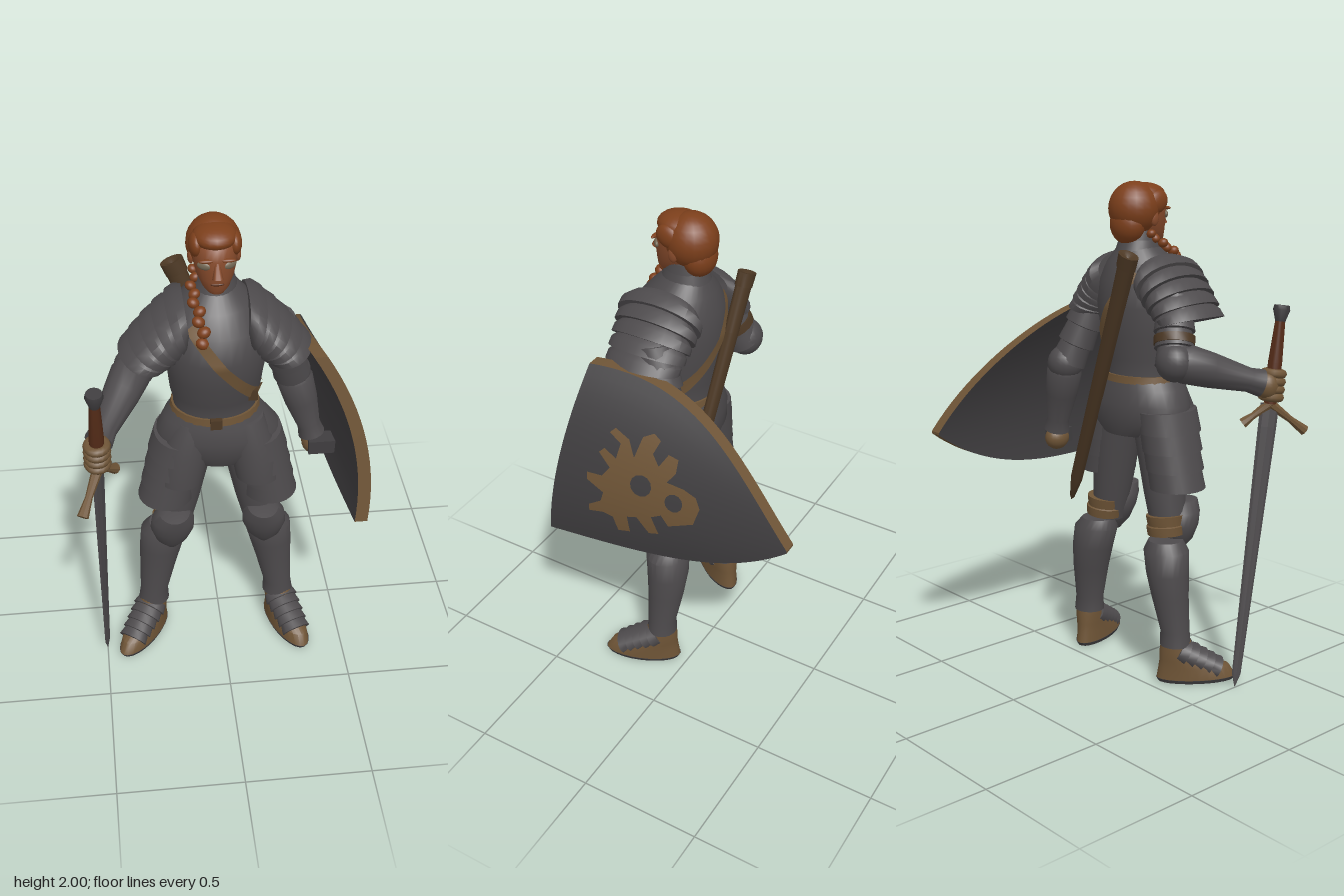
import * as THREE from 'three';
import { toCreasedNormals } from 'three/addons/utils/BufferGeometryUtils.js';

const paint = (name, color, side = THREE.FrontSide) => {
  const m = new THREE.MeshStandardMaterial({ color, side });
  m.name = name;
  return m;
};
const V = (x, y, z) => new THREE.Vector3(x, y, z);
const lerp = THREE.MathUtils.lerp;

// Closed body from stacked elliptical rings: [x, y, z, radiusX, radiusZ, tilt]
function loft(rings, seg = 24) {
  const pos = [], idx = [], n = rings.length;
  for (const [x, y, z, rx, rz, tilt = 0] of rings)
    for (let j = 0; j < seg; j++) {
      const a = (j / seg) * Math.PI * 2, c = rx * Math.cos(a);
      pos.push(x + c * Math.cos(tilt), y + c * Math.sin(tilt), z + rz * Math.sin(a));
    }
  for (const r of [rings[0], rings[n - 1]]) pos.push(r[0], r[1], r[2]);
  for (let j = 0; j < seg; j++) {
    const k = (j + 1) % seg, top = (n - 1) * seg;
    for (let i = 0; i < n - 1; i++) {
      const a = i * seg + j, b = i * seg + k, c = a + seg, d = b + seg;
      idx.push(a, c, b, b, c, d);
    }
    idx.push(n * seg, j, k, n * seg + 1, top + k, top + j);
  }
  const g = new THREE.BufferGeometry();
  g.setAttribute('position', new THREE.Float32BufferAttribute(pos, 3));
  g.setIndex(idx);
  return toCreasedNormals(g, 0.7);
}

export function createModel() {
  const root = new THREE.Group();
  root.name = 'knight';
  const steel = paint('steel', 0x4d4a4c), dark = paint('dark steel', 0x3f3d3f);
  const tan = paint('tan leather', 0x6e5436), brown = paint('brown leather', 0x4c3824);
  const rust = paint('red brown grip', 0x552c18), hair = paint('auburn hair', 0x7c3f1b);
  const skin = paint('skin', 0x864a2b), eye = paint('eye shade', 0x746854);
  const strapMat = paint('strap leather', 0x6e5436, THREE.DoubleSide);

  const add = (name, geo, mat, parent = root) => {
    const m = new THREE.Mesh(geo, mat);
    m.name = name;
    parent.add(m);
    return m;
  };
  const ball = (name, p, r, mat, parent = root) => {
    const m = add(name, new THREE.SphereGeometry(1, 20, 14), mat, parent);
    m.position.set(...p);
    m.scale.set(...r);
    return m;
  };
  // Turned shape from point a to b; profile is [radius, fraction along]
  const limb = (name, a, b, profile, mat, { flat = 1, spin = 0, parent = root, seg = 18 } = {}) => {
    const A = V(...a), d = V(...b).sub(A), len = d.length();
    const pts = profile.map(([r, t]) => new THREE.Vector2(r, t * len));
    const m = add(name, toCreasedNormals(new THREE.LatheGeometry(pts, seg), 0.7), mat, parent);
    m.position.copy(A);
    m.quaternion.setFromUnitVectors(V(0, 1, 0), d.normalize())
      .multiply(new THREE.Quaternion().setFromAxisAngle(V(0, 1, 0), spin));
    m.scale.z = flat;
    return m;
  };
  // Stepped profile of n overlapping plates
  const steps = (n, r0, r1) => {
    const p = [[0, 0]];
    for (let i = 0; i < n; i++) {
      const r = lerp(r0, r1, i / n);
      p.push([r * 0.92, i / n], [r * 1.04, (i + 0.95) / n]);
    }
    return [...p, [0, 1]];
  };

  // Breastplate and backplate
  const chest = [[-.03, 1.18, .16, .165, .14], [-.03, 1.26, .16, .158, .138], [-.03, 1.31, .165, .17, .15],
    [-.03, 1.4, .17, .18, .17], [-.03, 1.52, .175, .2, .19], [-.03, 1.62, .168, .19, .172],
    [-.03, 1.69, .15, .14, .13], [-.03, 1.75, .135, .08, .085]];
  add('breastplate', loft(chest, 32), steel);
  for (let i = 0; i < 3; i++)
    add('gorget', loft([[-.03, 1.7 + i * .033, .135, .1 - i * .012, .11 - i * .013],
      [-.03, 1.745 + i * .033, .135, .08 - i * .007, .088 - i * .007]]), steel);

  // Shoulder strap laid over the chest surface, front and back
  const chestZ = (x, y, side) => {
    let i = 0;
    while (i < chest.length - 2 && chest[i + 1][1] < y) i++;
    const a = chest[i], b = chest[i + 1], t = (y - a[1]) / (b[1] - a[1]);
    const u = (x + .03) / lerp(a[3], b[3], t);
    return lerp(a[2], b[2], t) + side * (lerp(a[4], b[4], t) * Math.sqrt(Math.max(0, 1 - u * u)) + .008);
  };
  for (const side of [1, -1]) {
    const g = new THREE.PlaneGeometry(1, 1, 24, 2), p = g.attributes.position;
    for (let i = 0; i < p.count; i++) {
      const t = p.getX(i) + .5, w = p.getY(i) * .042;
      const x = lerp(-.13, .135, t) + w * .78, y = lerp(1.655, 1.3, t) + w * .62;
      p.setXYZ(i, x, y, chestZ(x, y, side));
    }
    g.computeVertexNormals();
    add('shoulderStrap', g, strapMat);
  }
  add('strapBuckle', new THREE.BoxGeometry(.035, .045, .035), brown).position.set(.1, 1.335, .268);

  // Belt and fauld
  add('belt', loft([[-.03, 1.218, .16, .174, .15], [-.03, 1.247, .16, .168, .147]]), tan);
  add('beltBuckle', new THREE.BoxGeometry(.045, .04, .02), brown).position.set(-.04, 1.232, .31);
  add('fauld', loft([[-.015, 1.0, .15, .15, .13], [-.015, 1.06, .155, .24, .155],
    [-.02, 1.13, .16, .235, .162], [-.03, 1.19, .16, .195, .155], [-.03, 1.225, .16, .172, .147]], 32), steel);

  for (const s of [-1, 1]) {
    const side = new THREE.Group();
    side.name = s < 0 ? 'rightLeg' : 'leftLeg';
    root.add(side);
    const P = (off, y, z) => [-.02 + s * off, y, z], o = { parent: side };
    // Overlapping thigh plates, with a smooth plate in front
    for (let i = 0; i < 4; i++) {
      const t = i / 4, u = t + .29;
      add('tasset', loft([[...P(lerp(.145, .205, u), lerp(1.11, .81, u), .17), .11, lerp(.145, .118, u)],
        [...P(lerp(.145, .205, t), lerp(1.11, .81, t), .165), .102, lerp(.137, .11, t)]]), steel, side);
    }
    add('frontTasset', loft([[...P(.15, .92, .235), .085, .08], [...P(.125, 1.08, .235), .09, .083],
      [...P(.09, 1.2, .21), .08, .08]]), steel, side);
    // Thigh, knee and shin
    limb('thigh', P(.11, 1.05, .15), P(.185, .6, .15), [[0, 0], [.1, 0], [.085, .6], [.068, 1], [0, 1]], steel, o);
    limb('kneeStrap', P(.188, .605, .128), P(.18, .685, .13),
      [[0, 0], [.074, 0], [.078, .45], [.072, .5], [.078, 1], [0, 1]], tan, o);
    add('kneePlate', loft([[...P(.19, .53, .19), .02, .02], [...P(.19, .58, .19), .065, .06],
      [...P(.187, .64, .195), .088, .08], [...P(.183, .69, .205), .085, .085],
      [...P(.178, .73, .215), .062, .08], [...P(.175, .74, .2), .04, .05]]), steel, side);
    add('greave', loft([[...P(.268, .16, .11), .064, .062], [...P(.265, .22, .11), .058, .06],
      [...P(.245, .36, .1), .075, .075], [...P(.23, .46, .098), .088, .085],
      [...P(.215, .55, .105), .096, .088], [...P(.205, .59, .11), .07, .07]]), steel, side);
    // Boot with instep plates
    const foot = new THREE.Group();
    foot.name = 'foot';
    foot.position.set(-.02 + s * .27, 0, .11);
    foot.rotation.y = s < 0 ? -.63 : .36;
    side.add(foot);
    add('sole', loft([[0, .005, .085, .06, .155], [0, .02, .085, .066, .164]]), dark, foot);
    add('boot', loft([[0, .02, .085, .064, .162], [0, .065, .075, .062, .145], [0, .1, .035, .058, .1],
      [0, .14, .005, .055, .07], [0, .19, 0, .052, .056]]), tan, foot);
    limb('instepPlates', [0, .14, .01], [0, .05, .175], steps(5, .07, .058), steel, { parent: foot, flat: .75 });

    // Layered shoulder plates
    for (let i = 0; i < 5; i++) {
      const ring = (t, k) => [-.03 + s * lerp(.11, .268, t), lerp(1.65, 1.475, t), .168,
        .086 * k, lerp(.172, .14, t) * k, s * lerp(1.45, .28, t)];
      add(s < 0 ? 'rightPauldron' : 'leftPauldron',
        loft([ring((i + 1.25) / 5.25, 1.1), ring((i + .6) / 5.25, 1.06), ring(i / 5.25, .86)]), steel);
    }
  }

  // Right arm
  limb('rightUpperArm', [-.24, 1.56, .13], [-.325, 1.32, .05], steps(4, .08, .07), steel);
  limb('rightArmStrap', [-.288, 1.425, .085], [-.298, 1.395, .075], [[0, 0], [.08, 0], [.08, 1], [0, 1]], brown);
  ball('rightElbow', [-.33, 1.335, .045], [.075, .075, .07], steel);
  limb('rightForearm', [-.325, 1.34, .05], [-.48, 1.235, .37],
    [[0, 0], [.066, .02], [.078, .12], [.07, .4], [.048, .85], [.055, 1], [0, 1]], steel);
  ball('rightGlove', [-.49, 1.222, .4], [.044, .055, .052], tan);
  // Left arm
  limb('leftUpperArm', [.2, 1.56, .13], [.285, 1.25, .03], steps(4, .08, .068), steel);
  ball('leftElbow', [.29, 1.25, .02], [.072, .075, .075], steel);
  limb('leftForearm', [.29, 1.25, .02], [.375, .95, .04],
    [[0, 0], [.06, .02], [.073, .12], [.066, .45], [.046, .85], [.054, 1], [0, 1]], steel);
  ball('leftGlove', [.38, .91, .045], [.045, .05, .055], tan);
  add('shieldHandle', new THREE.BoxGeometry(.13, .06, .07), dark).position.set(.42, .92, .075);

  // Sword
  const pommel = V(-.485, 1.53, .475), tip = V(-.5, 0, .24);
  const at = (t) => pommel.clone().lerp(tip, t).toArray();
  limb('pommel', at(.045), at(0), [[0, 0], [.018, 0], [.034, .75], [.03, 1], [0, 1]], dark);
  limb('grip', at(.25), at(.04), [[0, 0], [.024, 0], [.028, .5], [.02, 1], [0, 1]], rust);
  limb('blade', at(1), at(.25), [[0, 0], [.018, .05], [.037, .92], [.037, 1], [0, 1]], steel,
    { flat: .3, spin: .95, seg: 8 });
  for (const end of [[-.555, 1.03, .55], [-.425, 1.07, .33]])
    limb('crossguard', at(.25), end, [[0, -.04], [.022, -.03], [.014, .6], [.022, 1], [0, 1]], tan, { seg: 8 });
  for (let i = 0; i < 4; i++) {
    const f = add('finger', new THREE.TorusGeometry(.034, .018, 8, 16), tan);
    f.position.set(...at(.172 + i * .02));
    f.rotation.x = Math.PI / 2 + .15;
  }

  // Scabbard on the back
  limb('scabbard', [.27, .66, .03], [-.17, 1.73, -.045],
    [[0, 0], [.012, .02], [.028, .1], [.036, .8], [.04, 1], [.028, 1], [0, .985]], brown, { flat: .75 });
  limb('scabbardCollar', [-.15, 1.685, -.042], [-.17, 1.735, -.046],
    [[0, 0], [.043, 0], [.045, 1], [.032, 1], [0, .6]], brown, { flat: .75 });

  // Shield: a slab bent along its length, with leather edges
  const shieldX = (z, y) => .499 + .115 * z - (.66 - .38 * z) * (y - .95) ** 2;
  const slab = new THREE.BoxGeometry(1, 1, 1, 28, 16, 1), sp = slab.attributes.position;
  for (let i = 0; i < sp.count; i++) {
    const u = (sp.getX(i) + .5) * .995, v = sp.getY(i) + .5;
    const z = lerp(lerp(.43, .315, v), -.56, u);
    const y = lerp(1.02 - .22 * (1 - u ** 3.4), 1.02 + .49 * (1 - u ** 2.25), v);
    sp.setXYZ(i, shieldX(z, y) + (sp.getZ(i) - .5) * .05, y, z);
  }
  slab.computeVertexNormals();
  add('shield', slab, [tan, tan, tan, tan, dark, dark]);

  // Painted beast on the shield, in hundredths: [z, y]
  const beast = [[-21, 110], [-19, 103], [-14, 101], [-9, 99], [-6, 103], [-2, 101], [-5, 94], [-1, 93], [4, 99],
    [8, 98], [7, 91], [12, 90], [14, 96], [18, 97], [24, 96], [24, 99], [19, 102], [18, 106], [25, 110], [25, 113],
    [19, 113], [16, 117], [21, 122], [19, 124], [14, 121], [13, 127], [18, 130], [16, 132], [10, 129], [7, 123],
    [5, 131], [1, 133], [-2, 131], [0, 126], [-3, 122], [-6, 127], [-10, 126], [-10, 121], [-7, 117], [-14, 116], [-19, 114]];
  const shape = new THREE.Shape(beast.map(([z, y]) => new THREE.Vector2(-z / 100, y / 100)));
  for (const [x, y, r] of [[-.03, 1.13, .043], [.106, 1.095, .036]])
    shape.holes.push(new THREE.Path().absarc(x, y, r, 0, Math.PI * 2, true));
  const flat = new THREE.ShapeGeometry(shape, 6).toNonIndexed().attributes.position;
  let tris = [];
  for (let i = 0; i < flat.count; i++) tris.push(V().fromBufferAttribute(flat, i));
  for (let level = 0; level < 3; level++) {
    const next = [];
    for (let i = 0; i < tris.length; i += 3) {
      const [a, b, c] = tris.slice(i, i + 3);
      const ab = a.clone().lerp(b, .5), bc = b.clone().lerp(c, .5), ca = c.clone().lerp(a, .5);
      next.push(a, ab, ca, ab, b, bc, ca, bc, c, ab, bc, ca);
    }
    tris = next;
  }
  const emblem = new THREE.BufferGeometry().setFromPoints(tris.map((p) => V(shieldX(-p.x, p.y) + .004, p.y, -p.x)));
  emblem.computeVertexNormals();
  add('shieldEmblem', emblem, tan);

  // Head
  const head = new THREE.Group();
  head.name = 'head';
  head.position.set(-.03, 0, 0);
  root.add(head);
  add('neck', loft([[0, 1.72, .13, .06, .06], [0, 1.83, .13, .058, .065]]), skin, head);
  add('face', loft([[0, 1.755, .205, .03, .035], [0, 1.775, .19, .05, .06], [0, 1.81, .17, .067, .082],
    [0, 1.85, .155, .078, .1], [0, 1.89, .148, .082, .104], [0, 1.93, .14, .08, .1], [0, 1.97, .13, .05, .06]]), skin, head);
  limb('nose', [0, 1.825, .262], [0, 1.885, .245], [[0, 0], [.02, .08], [.017, .3], [.009, 1], [0, 1]], skin, { parent: head });
  ball('mouth', [0, 1.8, .246], [.025, .006, .007], rust, head);
  for (const s of [-1, 1]) {
    ball('eye', [s * .045, 1.87, .232], [.027, .016, .011], eye, head).rotation.y = s * .5;
    ball('brow', [s * .038, 1.893, .243], [.028, .007, .009], hair, head);
    ball('ear', [s * .084, 1.86, .14], [.012, .03, .02], skin, head);
    ball('sideHair', [s * .068, 1.92, .165], [.027, .045, .055], hair, head).rotation.x = -.4;
  }
  ball('hair', [0, 1.895, .11], [.1, .105, .103], hair, head);
  ball('hairFront', [0, 1.95, .16], [.08, .043, .085], hair, head);
  ball('hairNape', [0, 1.835, .075], [.077, .078, .063], hair, head);
  // Braid falling over the right shoulder
  const braid = new THREE.CatmullRomCurve3([V(-.1, 1.8, .13), V(-.115, 1.75, .2), V(-.1, 1.7, .28), V(-.085, 1.61, .328)]);
  for (let i = 0; i < 9; i++) {
    const p = braid.getPoint(i / 8), k = .75 + .25 * i / 8;
    ball('braid', [p.x + (i % 2 ? .006 : -.006), p.y, p.z], [.026 * k, .022 * k, .024 * k], hair)
      .rotation.z = i % 2 ? .5 : -.5;
  }
  return root;
}
